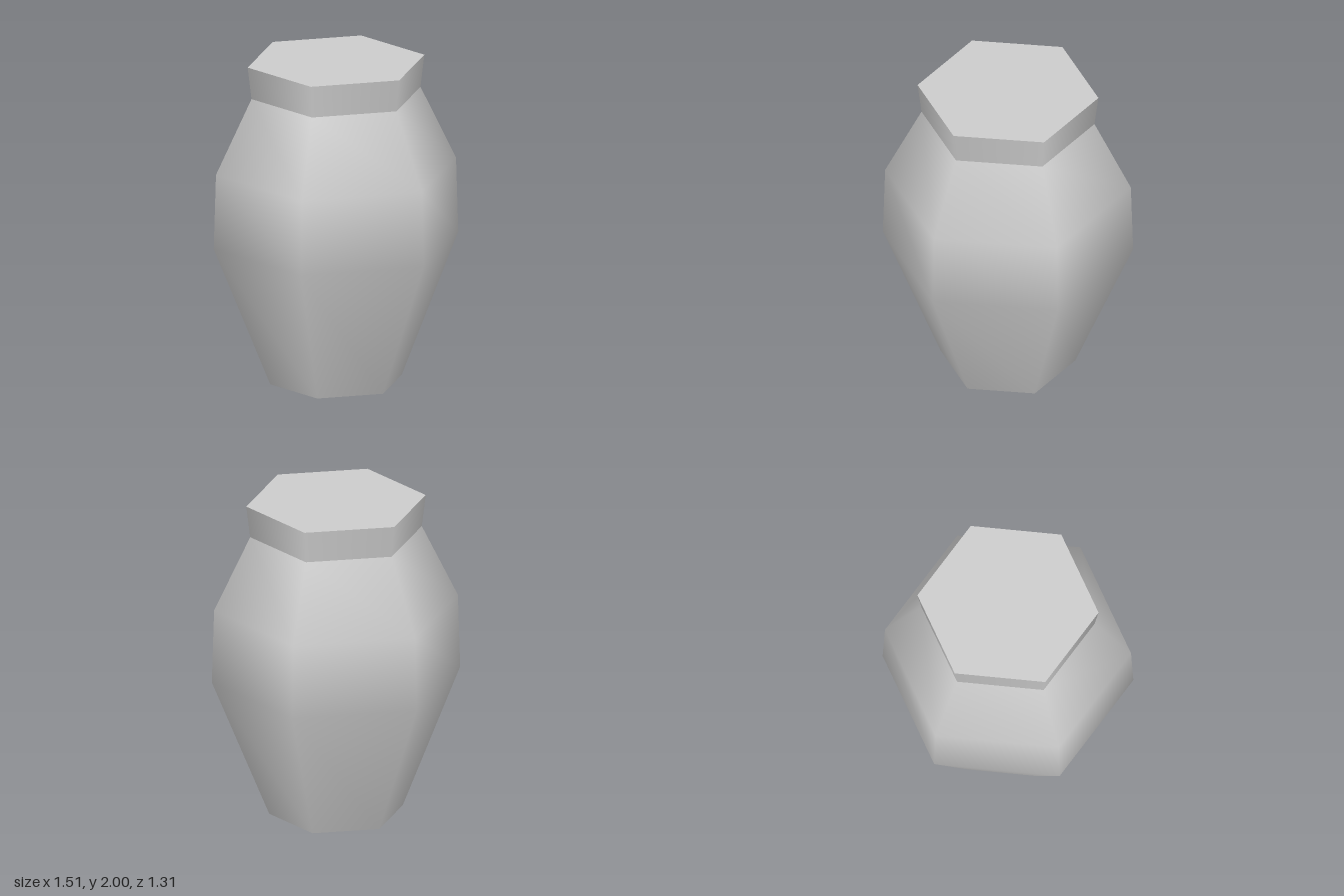
import * as THREE from 'three';

const SIDES = 6;

export function createModel() {
  const group = new THREE.Group();
  group.name = 'jar';
  const clay = new THREE.MeshStandardMaterial({ color: 0xcccccc });
  clay.name = 'light grey clay';

  const add = (name, geometry, y = 0) => {
    const mesh = new THREE.Mesh(geometry, clay);
    mesh.name = name;
    mesh.position.y = y;
    group.add(mesh);
  };

  // Six-sided smooth wall from [radius, height] pairs, with a corner on +x
  const wall = (profile) => new THREE.LatheGeometry(
    profile.map(([r, y]) => new THREE.Vector2(r, y)), SIDES, Math.PI / 2);

  // Flat hexagon, facing up or down
  const cap = (radius, up) =>
    new THREE.CircleGeometry(radius, SIDES).rotateX(up ? -Math.PI / 2 : Math.PI / 2);

  // Body and rim are separate so the neck stays a sharp edge
  add('body', wall([[0.407, 0], [0.757, 0.875], [0.743, 1.34], [0.523, 1.8]]));
  add('rim', wall([[0.523, 1.8], [0.547, 2]]));
  add('lid', cap(0.547, true), 2);
  add('base', cap(0.407, false));

  return group;
}
